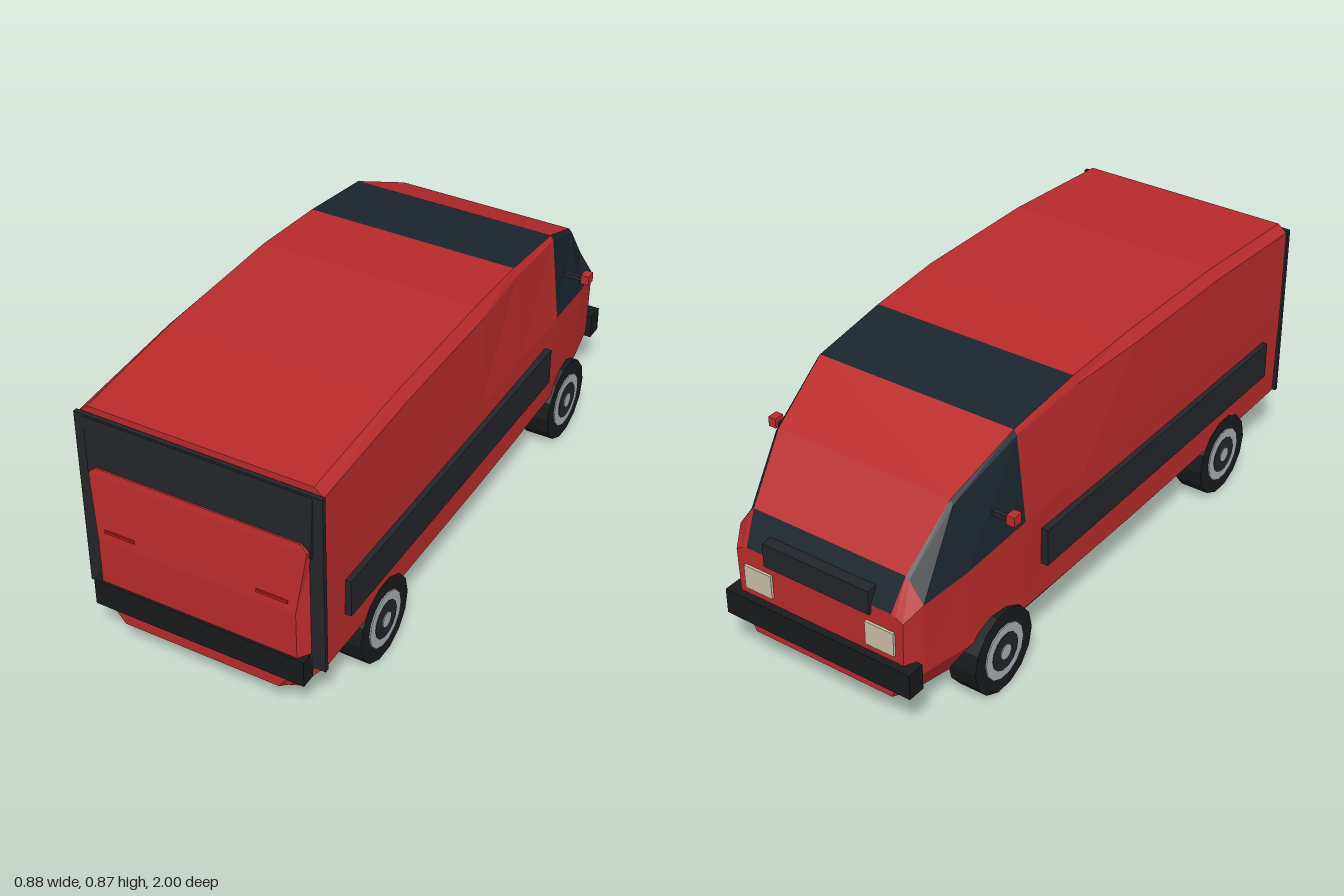
import * as THREE from 'three';

const mat = (color, side = THREE.FrontSide) =>
  new THREE.MeshStandardMaterial({ color, flatShading: true, side });
const red = mat(0xb92b2b), dark = mat(0x23252a), glass = mat(0x1b252e), black = mat(0x0e0f11);
const rubber = mat(0x181a1c), silver = mat(0xa9aeb4), lamp = mat(0xc8bfa8), tailRed = mat(0xb01a12);

// Faces are lists of corners in counter-clockwise order, cut into fans.
function faceMesh(name, faces, material) {
  const pos = [];
  for (const f of faces)
    for (let k = 1; k < f.length - 1; k++) pos.push(...f[0], ...f[k], ...f[k + 1]);
  const g = new THREE.BufferGeometry();
  g.setAttribute('position', new THREE.Float32BufferAttribute(pos, 3));
  g.computeVertexNormals();
  const m = new THREE.Mesh(g, material);
  m.name = name;
  return m;
}

// Box given by its extents.
function box(name, x0, x1, y0, y1, z0, z1, material) {
  const m = new THREE.Mesh(new THREE.BoxGeometry(x1 - x0, y1 - y0, z1 - z0), material);
  m.position.set((x0 + x1) / 2, (y0 + y1) / 2, (z0 + z1) / 2);
  m.name = name;
  return m;
}

// Body shell: cross-sections from the tail to the nose.
// Each: z, then x,y of floor edge, sill, belt, shoulder, roof edge.
const SECTIONS = [
  [0.94, 0.30, 0.115, 0.385, 0.22, 0.39, 0.53, 0.39, 0.82, 0.36, 0.845],
  [0.50, 0.30, 0.108, 0.385, 0.215, 0.39, 0.53, 0.39, 0.845, 0.362, 0.875],
  [0.03, 0.30, 0.105, 0.385, 0.215, 0.39, 0.53, 0.387, 0.845, 0.36, 0.877],
  [-0.24, 0.30, 0.107, 0.385, 0.22, 0.388, 0.53, 0.365, 0.835, 0.352, 0.86],
  [-0.52, 0.30, 0.107, 0.38, 0.22, 0.385, 0.53, 0.355, 0.81, 0.345, 0.825],
  [-0.76, 0.29, 0.115, 0.355, 0.225, 0.36, 0.49, 0.315, 0.70, 0.305, 0.712],
  [-0.92, 0.27, 0.13, 0.325, 0.225, 0.33, 0.465, 0.283, 0.53, 0.272, 0.54],
  [-0.975, 0.25, 0.142, 0.295, 0.23, 0.30, 0.42, 0.275, 0.435, 0.26, 0.44],
];

function bodyShell() {
  const rings = SECTIONS.map(([z, ...p]) => {
    const half = [0, 2, 4, 6, 8].map(k => [p[k], p[k + 1], z]);
    return [...half, ...half.slice().reverse().map(([x, y]) => [-x, y, z])];
  });
  const painted = [], glazed = [], floor = [];
  for (let i = 0; i < rings.length - 1; i++)
    for (let j = 0; j < 10; j++) {
      const k = (j + 1) % 10;
      const sideWindow = (i === 4 || i === 5) && [2, 3, 5, 6].includes(j);
      const topBand = j === 4 && (i === 3 || i === 6);
      const list = j === 9 ? floor : sideWindow || topBand ? glazed : painted;
      list.push([rings[i][j], rings[i + 1][j], rings[i + 1][k], rings[i][k]]);
    }
  painted.push(rings[0], rings.at(-1).slice().reverse());
  const g = new THREE.Group();
  g.name = 'bodyShell';
  g.add(faceMesh('paintedBody', painted, red), faceMesh('windows', glazed, glass),
    faceMesh('underside', floor, black));
  return g;
}

// Raised panel on the tail. Rows from bottom up: y, base half width, face half width, face z.
function tailPanel(name, rows, material) {
  const lines = rows.map(([y, b, f, z]) => [[-b, y, 0.945], [-f, y, z], [f, y, z], [b, y, 0.945]]);
  const faces = [lines[0].slice().reverse(), lines.at(-1)];
  for (let i = 0; i < lines.length - 1; i++)
    for (let j = 0; j < 3; j++)
      faces.push([lines[i][j], lines[i][j + 1], lines[i + 1][j + 1], lines[i + 1][j]]);
  return faceMesh(name, faces, material);
}

// Wheel with stacked discs on its outer face, pointing along +x.
function wheel() {
  const g = new THREE.Group();
  g.name = 'wheel';
  const disc = (name, r, x0, x1, material) => {
    const geo = new THREE.CylinderGeometry(r, r, x1 - x0, 14).rotateZ(-Math.PI / 2);
    const m = new THREE.Mesh(geo, material);
    m.position.x = (x0 + x1) / 2;
    m.name = name;
    g.add(m);
  };
  disc('tyre', 0.139, 0.29, 0.387, rubber);
  disc('rim', 0.092, 0.38, 0.391, silver);
  disc('rimInset', 0.062, 0.38, 0.393, dark);
  disc('hub', 0.025, 0.38, 0.396, silver);
  return g;
}

export function createModel() {
  const model = new THREE.Group();
  model.name = 'van';
  model.add(bodyShell());

  // Tail: dark frame, rear window, tailgate and bumper
  model.add(box('rearFrame', -0.395, 0.395, 0.22, 0.826, 0.943, 0.957, dark));
  model.add(tailPanel('rearWindow', [
    [0.62, 0.365, 0.36, 0.964], [0.82, 0.37, 0.365, 0.958]], dark));
  model.add(tailPanel('tailgate', [
    [0.115, 0.30, 0.255, 0.965], [0.13, 0.31, 0.26, 0.988], [0.22, 0.36, 0.325, 0.992],
    [0.43, 0.36, 0.325, 0.992], [0.64, 0.36, 0.353, 0.972], [0.66, 0.335, 0.33, 0.968]], red));
  model.add(box('rearBumper', -0.35, 0.35, 0.18, 0.27, 0.95, 1.0, rubber));

  // Nose: grille and bumper
  model.add(box('grille', -0.19, 0.19, 0.41, 0.49, -0.985, -0.945, dark));
  model.add(box('frontBumper', -0.335, 0.335, 0.19, 0.275, -1.0, -0.94, rubber));

  // Parts on both sides
  for (const s of [1, -1]) {
    const pair = (name, x0, x1, ...rest) =>
      model.add(box(name, Math.min(s * x0, s * x1), Math.max(s * x0, s * x1), ...rest));
    pair('sidePanel', 0.38, 0.407, 0.335, 0.46, -0.44, 0.835, dark);
    pair('headlight', 0.17, 0.27, 0.30, 0.38, -0.983, -0.96, lamp);
    pair('tailStrip', 0.20, 0.30, 0.457, 0.467, 0.975, 0.993, tailRed);
    pair('mirrorArm', 0.34, 0.416, 0.615, 0.63, -0.645, -0.63, dark);
    pair('mirror', 0.415, 0.442, 0.613, 0.645, -0.655, -0.62, red);
    for (const z of [0.61, -0.63]) {
      const w = wheel();
      w.position.set(0, 0.139, z);
      if (s < 0) w.rotation.y = Math.PI;
      model.add(w);
    }
  }
  return model;
}
